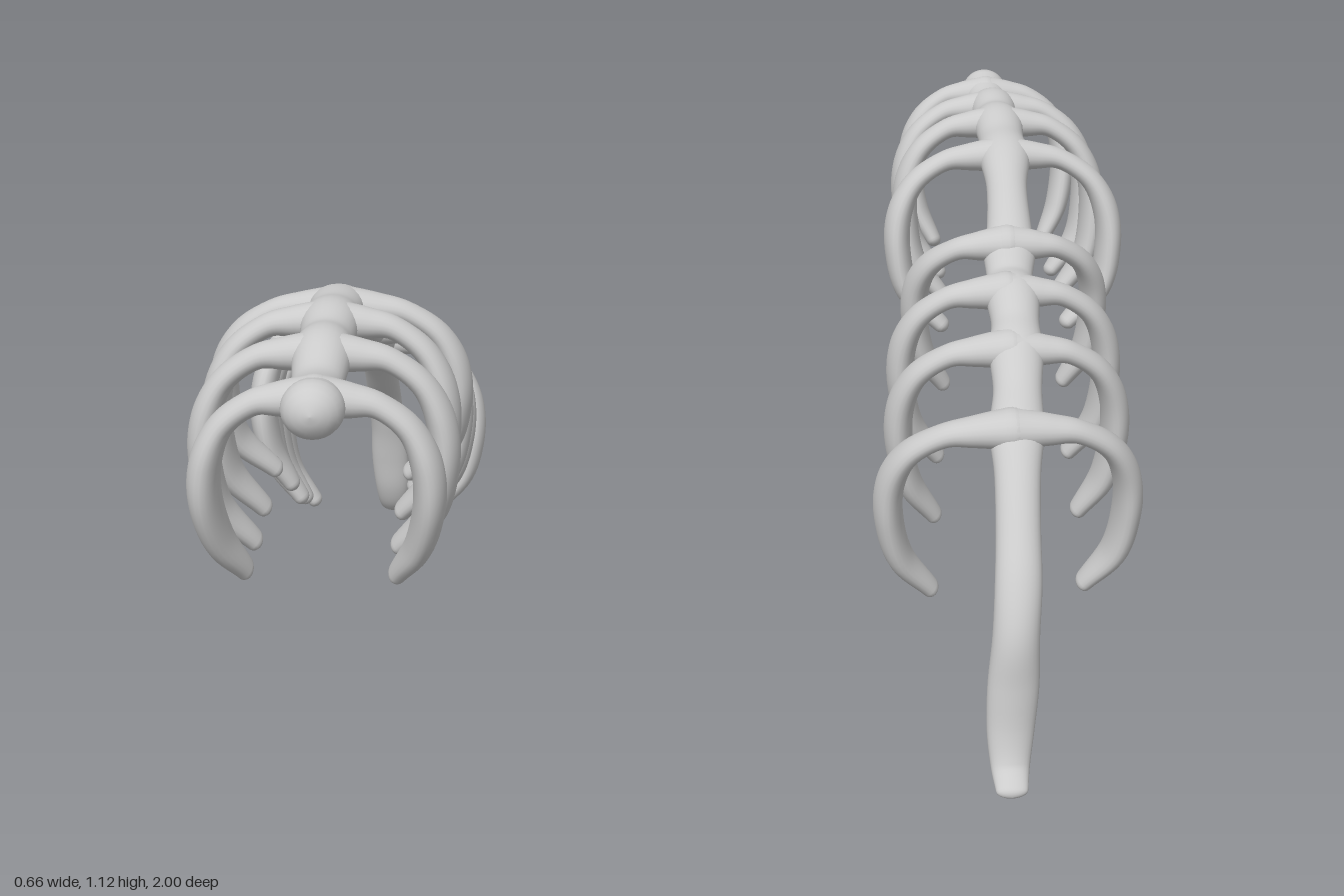
import * as THREE from 'three';

const material = new THREE.MeshStandardMaterial({ color: 0xcccccc });

// Smooth tube through points [x,y,z] with an elliptical section: half-size a across, b along ref.
function sweep(points, radii, ref, steps, sides) {
  const path = new THREE.CatmullRomCurve3(points.map(p => new THREE.Vector3(...p)), false, 'catmullrom', 0.5);
  const size = new THREE.CatmullRomCurve3(radii.map(r => new THREE.Vector3(r[0], r[1], 0)), false, 'catmullrom', 0.5);
  const rings = [];
  const addRing = (t, angle) => {
    const tangent = path.getTangent(t);
    const { x: a, y: b } = size.getPoint(t);
    // rounded ends: the ring shrinks as it moves past the end
    const k = Math.max(Math.cos(angle), 0.001);
    const centre = path.getPoint(t).addScaledVector(tangent, Math.sin(angle) * Math.min(a, b));
    const v = ref.clone().addScaledVector(tangent, -ref.dot(tangent)).normalize();
    const u = new THREE.Vector3().crossVectors(v, tangent);
    rings.push({ centre, u: u.multiplyScalar(a * k), v: v.multiplyScalar(b * k) });
  };
  const capSteps = 5;
  for (let i = capSteps; i > 0; i--) addRing(0, -i / capSteps * Math.PI / 2);
  for (let i = 0; i <= steps; i++) addRing(i / steps, 0);
  for (let i = 1; i <= capSteps; i++) addRing(1, i / capSteps * Math.PI / 2);

  const position = [], index = [];
  rings.forEach(({ centre, u, v }, i) => {
    for (let j = 0; j < sides; j++) {
      const w = j / sides * Math.PI * 2;
      const p = centre.clone().addScaledVector(u, Math.cos(w)).addScaledVector(v, Math.sin(w));
      position.push(p.x, p.y, p.z);
      if (i === 0) continue;
      const n = (j + 1) % sides, lo = (i - 1) * sides, hi = i * sides;
      index.push(lo + j, lo + n, hi + n, lo + j, hi + n, hi + j);
    }
  });
  const geometry = new THREE.BufferGeometry();
  geometry.setAttribute('position', new THREE.Float32BufferAttribute(position, 3));
  geometry.setIndex(index);
  geometry.computeVertexNormals();
  return geometry;
}

// Spine stations from front knob to tail tip: x, y, z, half-width, half-height
const SPINE = [
  [-0.025, 1.055, 0.95, 0.062, 0.058],
  [-0.025, 1.05, 0.89, 0.06, 0.05],
  [-0.03, 1.045, 0.79, 0.052, 0.042],
  [-0.03, 1.07, 0.67, 0.062, 0.055],
  [-0.03, 1.065, 0.57, 0.056, 0.05],
  [-0.03, 1.075, 0.47, 0.064, 0.053],
  [-0.03, 1.06, 0.36, 0.058, 0.046],
  [-0.03, 1.045, 0.25, 0.064, 0.05],
  [-0.025, 1.005, 0.12, 0.05, 0.042],
  [-0.02, 0.945, -0.02, 0.054, 0.045],
  [-0.015, 0.905, -0.09, 0.062, 0.048],
  [-0.01, 0.865, -0.16, 0.054, 0.04],
  [-0.01, 0.85, -0.24, 0.062, 0.05],
  [-0.01, 0.81, -0.32, 0.055, 0.045],
  [-0.005, 0.78, -0.4, 0.062, 0.048],
  [0.0, 0.725, -0.5, 0.054, 0.042],
  [0.01, 0.675, -0.6, 0.06, 0.045],
  [0.015, 0.61, -0.68, 0.05, 0.04],
  [0.02, 0.52, -0.76, 0.048, 0.04],
  [0.025, 0.43, -0.83, 0.05, 0.04],
  [0.033, 0.33, -0.87, 0.05, 0.045],
  [0.04, 0.22, -0.885, 0.055, 0.038],
  [0.047, 0.12, -0.9, 0.051, 0.034],
  [0.05, 0.05, -0.93, 0.042, 0.028],
  [0.05, 0.022, -0.98, 0.034, 0.016],
];

// Rib pairs, front to back: centre x, outer half-width, tip half-width, root y, tip y, root z, outer z, tip z
const RIBS = [
  [-0.025, 0.255, 0.16, 1.06, 0.63, 0.90, 0.89, 0.80],
  [-0.03, 0.285, 0.16, 1.075, 0.60, 0.67, 0.66, 0.60],
  [-0.03, 0.285, 0.16, 1.08, 0.60, 0.47, 0.47, 0.42],
  [-0.025, 0.305, 0.165, 1.05, 0.60, 0.26, 0.24, 0.19],
  [-0.01, 0.255, 0.155, 0.925, 0.50, -0.08, 0.03, 0.045],
  [0.005, 0.28, 0.165, 0.86, 0.385, -0.23, -0.165, -0.135],
  [0.01, 0.285, 0.175, 0.785, 0.31, -0.40, -0.33, -0.305],
  [0.022, 0.302, 0.18, 0.685, 0.22, -0.61, -0.525, -0.495],
];

// Section along a rib: half-thickness and half-breadth, narrow at the root and broad below
const RIB_SIZE = [
  [0.046, 0.056], [0.034, 0.042], [0.025, 0.035], [0.026, 0.043],
  [0.032, 0.057], [0.033, 0.066], [0.03, 0.058], [0.021, 0.034],
];

function ribGeometry([cx, outer, tip, y0, y1, z0, z1, z2], side) {
  const W = outer - 0.033, drop = y0 - y1 - 0.02;
  // fractions: outward reach, fall, progress root to outer z, progress outer to tip z
  const course = [
    [0, 0, 0, 0], [0.3, 0.01, 0, 0], [0.55, 0.035, 0.08, 0], [0.82, 0.15, 0.4, 0],
    [0.97, 0.33, 0.8, 0], [1, 0.55, 1, 0.15], [0.91, 0.8, 1, 0.55], [tip / W, 1, 1, 1],
  ];
  const points = course.map(([out, fall, p, q]) => [
    cx + side * out * W, y0 - fall * drop, z0 + (z1 - z0) * p + (z2 - z1) * q,
  ]);
  return sweep(points, RIB_SIZE, new THREE.Vector3(0, 0, 1), 44, 20);
}

export function createModel() {
  const model = new THREE.Group();
  model.name = 'ribcage';

  // Spine with swollen joints and drooping tail
  const spine = new THREE.Mesh(
    sweep(SPINE.map(s => s.slice(0, 3)), SPINE.map(s => [s[4], s[3]]), new THREE.Vector3(1, 0, 0), 144, 28),
    material);
  spine.name = 'spine';
  model.add(spine);

  // Curved ribs in left and right pairs
  RIBS.forEach((rib, i) => {
    const pair = new THREE.Group();
    pair.name = `ribPair${i + 1}`;
    for (const side of [1, -1]) {
      const mesh = new THREE.Mesh(ribGeometry(rib, side), material);
      mesh.name = side > 0 ? 'leftRib' : 'rightRib';
      pair.add(mesh);
    }
    model.add(pair);
  });
  return model;
}
